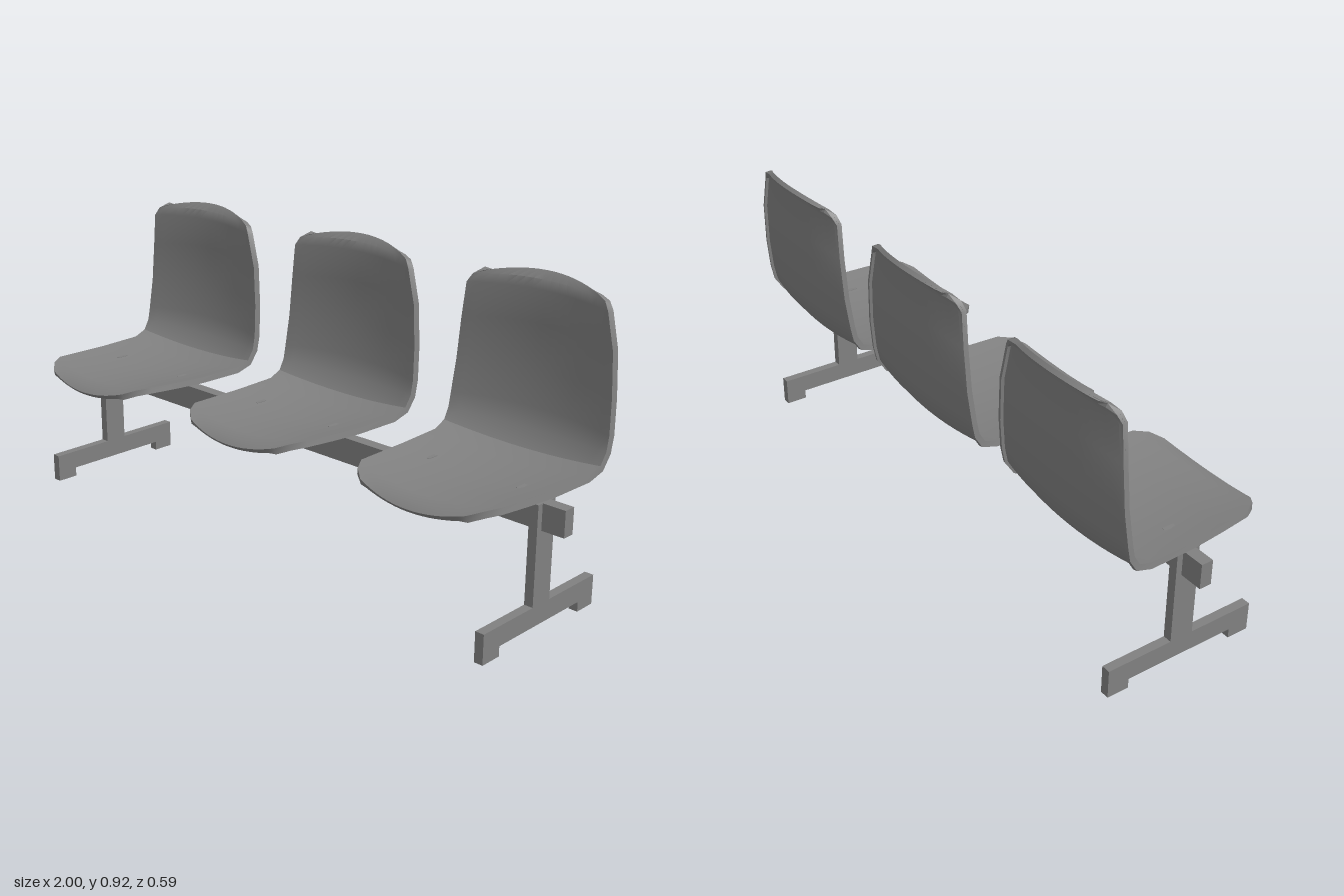
import * as THREE from 'three';
import { toCreasedNormals } from 'three/addons/utils/BufferGeometryUtils.js';

const material = new THREE.MeshStandardMaterial({ color: 0x808080 });

// Shell cross-sections from front lip to back top:
// half width, edge z, edge y, centre z, centre y
const SECTIONS = [
  [0.18, 0.270, 0.410, 0.292, 0.382],
  [0.215, 0.242, 0.424, 0.273, 0.399],
  [0.24, 0.200, 0.430, 0.235, 0.408],
  [0.25, 0.100, 0.426, 0.120, 0.400],
  [0.258, 0.000, 0.423, 0.000, 0.396],
  [0.265, -0.150, 0.425, -0.145, 0.400],
  [0.27, -0.195, 0.441, -0.210, 0.421],
  [0.272, -0.216, 0.475, -0.245, 0.468],
  [0.272, -0.225, 0.520, -0.257, 0.530],
  [0.265, -0.236, 0.620, -0.268, 0.640],
  [0.255, -0.240, 0.750, -0.271, 0.770],
  [0.236, -0.233, 0.857, -0.261, 0.870],
  [0.22, -0.240, 0.883, -0.268, 0.898],
  [0.19, -0.250, 0.895, -0.290, 0.920],
];
const COLS = 16;
const THICKNESS = 0.01;
const CREASE = THREE.MathUtils.degToRad(31);

function buildGeometry(points, index) {
  const geometry = new THREE.BufferGeometry().setFromPoints(points);
  geometry.setIndex(index);
  geometry.computeVertexNormals();
  return geometry;
}

// Thin shell (upper and lower face) with a deeper turned-under rim
function shellGeometries() {
  const last = SECTIONS.length - 1;
  const at = (i, j) => i * (COLS + 1) + j;
  const top = [], up = [], down = [];
  SECTIONS.forEach(([halfWidth, ze, ye, zc, yc], i) => {
    for (let j = 0; j <= COLS; j++) {
      const u = (2 * j) / COLS - 1;
      const t = u * u;
      top.push(new THREE.Vector3(u * halfWidth, yc + (ye - yc) * t, zc + (ze - zc) * t));
      if (i < last && j < COLS) {
        const a = at(i, j), b = at(i, j + 1), c = at(i + 1, j + 1), d = at(i + 1, j);
        up.push(a, b, c, a, c, d);
        down.push(a, c, b, a, d, c);
      }
    }
  });
  const upper = buildGeometry(top, up);
  const normalAttribute = upper.getAttribute('normal');
  const normals = top.map((_, k) => new THREE.Vector3().fromBufferAttribute(normalAttribute, k));
  const bottom = top.map((p, k) => p.clone().addScaledVector(normals[k], -THICKNESS));

  // Perimeter, anticlockwise from above
  const loop = [];
  for (let j = 0; j < COLS; j++) loop.push(at(0, j));
  for (let i = 0; i < last; i++) loop.push(at(i, COLS));
  for (let j = COLS; j > 0; j--) loop.push(at(last, j));
  for (let i = last; i > 0; i--) loop.push(at(i, 0));

  // Rim section: outer edge, underside, then back up to the shell
  const rimPoints = [], rimIndex = [];
  const count = loop.length;
  loop.forEach((k, n) => {
    const next = (n + 1) % count;
    const tangent = top[loop[next]].clone().sub(top[loop[(n + count - 1) % count]]).normalize();
    const inward = normals[k].clone().cross(tangent);
    const atSide = k % (COLS + 1) === 0 || k % (COLS + 1) === COLS;
    const depth = atSide ? 0.019 : 0.014;
    [[0, 0], [0, depth], [0.012, depth], [0.012, 0.004]].forEach(([inset, drop], s) => {
      rimPoints.push(top[k].clone().addScaledVector(inward, inset).addScaledVector(normals[k], -drop));
      if (s < 3) {
        const a = 4 * n + s, b = 4 * next + s;
        rimIndex.push(a, a + 1, b, b, a + 1, b + 1);
      }
    });
  });
  return {
    seatUpperFace: toCreasedNormals(upper, CREASE),
    seatLowerFace: toCreasedNormals(buildGeometry(bottom, down), CREASE),
    seatRim: toCreasedNormals(buildGeometry(rimPoints, rimIndex), CREASE),
  };
}

function addMesh(parent, name, geometry, x = 0, y = 0, z = 0) {
  const mesh = new THREE.Mesh(geometry, material);
  mesh.name = name;
  mesh.position.set(x, y, z);
  parent.add(mesh);
}

// Upright post on a long foot with a pad at each end
function legGeometry(width) {
  const half = [[0.18, 0.03], [0.18, 0], [0.25, 0], [0.25, 0.09], [0.038, 0.09], [0.038, 0.387]];
  const mirrored = half.map(([z, y]) => [-z, y]).reverse();
  const shape = new THREE.Shape([...half, ...mirrored].map(([z, y]) => new THREE.Vector2(z, y)));
  const geometry = new THREE.ExtrudeGeometry(shape, { depth: width, bevelEnabled: false });
  return geometry.translate(0, 0, -width / 2).rotateY(Math.PI / 2);
}

export function createModel() {
  const bench = new THREE.Group();
  bench.name = 'beamBench';

  // Support beam
  addMesh(bench, 'beam', new THREE.BoxGeometry(2, 0.078, 0.038), 0, 0.348, 0);

  // Legs
  const leg = legGeometry(0.028);
  addMesh(bench, 'leftLeg', leg, 0.914);
  addMesh(bench, 'rightLeg', leg, -0.914);

  // Three seats, each on two brackets
  const shell = shellGeometries();
  const bracket = new THREE.BoxGeometry(0.04, 0.022, 0.038);
  ['rightSeat', 'middleSeat', 'leftSeat'].forEach((name, i) => {
    const seat = new THREE.Group();
    seat.name = name;
    seat.position.x = (i - 1) * 0.69;
    for (const part in shell) addMesh(seat, part, shell[part]);
    for (const side of [-1, 1]) addMesh(seat, 'seatBracket', bracket, side * 0.17, 0.396, 0);
    bench.add(seat);
  });

  return bench;
}
